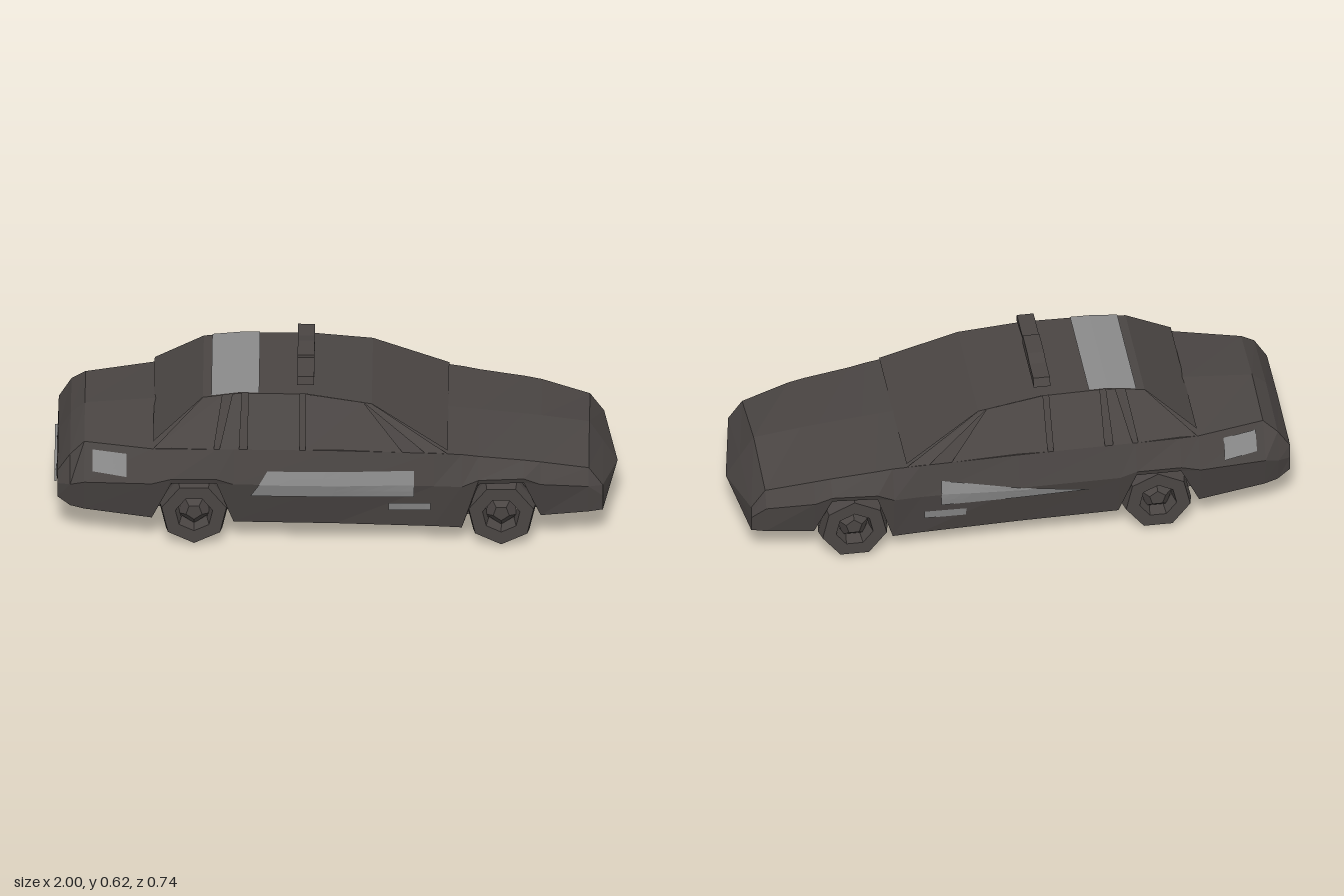
import * as THREE from 'three';

const dark = new THREE.MeshStandardMaterial({ color: 0x4a4543, flatShading: true, side: THREE.DoubleSide });
dark.name = 'dark paint';
const grey = new THREE.MeshStandardMaterial({ color: 0x8a8a8a, flatShading: true, side: THREE.DoubleSide });
grey.name = 'grey marking';

// Body stations: x, floor, arch height, sill width, mid y, mid width, shoulder y, shoulder width, deck y
const STATIONS = [
  [-0.985, 0.15, 0.15, 0.26, 0.21, 0.27, 0.26, 0.265, 0.27],
  [-0.94, 0.12, 0.12, 0.27, 0.22, 0.295, 0.33, 0.27, 0.345],
  [-0.89, 0.115, 0.115, 0.285, 0.24, 0.315, 0.37, 0.25, 0.387],
  [-0.65, 0.10, 0.10, 0.32, 0.26, 0.36, 0.375, 0.31, 0.405],
  [-0.58, 0.10, 0.26, 0.355, 0.28, 0.362, 0.38, 0.32, 0.405],
  [-0.42, 0.095, 0.26, 0.355, 0.28, 0.362, 0.385, 0.33, 0.395],
  [-0.36, 0.085, 0.085, 0.32, 0.26, 0.362, 0.385, 0.33, 0.39],
  [0, 0.08, 0.08, 0.32, 0.26, 0.365, 0.385, 0.335, 0.39],
  [0.35, 0.07, 0.07, 0.32, 0.25, 0.35, 0.37, 0.325, 0.382],
  [0.45, 0.065, 0.065, 0.32, 0.25, 0.355, 0.36, 0.315, 0.372],
  [0.51, 0.09, 0.26, 0.352, 0.28, 0.36, 0.35, 0.31, 0.366],
  [0.67, 0.10, 0.26, 0.34, 0.28, 0.348, 0.33, 0.30, 0.349],
  [0.73, 0.105, 0.105, 0.30, 0.25, 0.335, 0.32, 0.295, 0.342],
  [0.90, 0.11, 0.11, 0.28, 0.22, 0.295, 0.28, 0.265, 0.318],
  [0.95, 0.11, 0.11, 0.265, 0.17, 0.272, 0.21, 0.265, 0.24],
];

// Roof stations: x, y, half width
const ROOF = [
  [-0.645, 0.40, 0.30], [-0.47, 0.535, 0.22], [-0.34, 0.55, 0.215],
  [-0.1, 0.55, 0.22], [0.13, 0.52, 0.235], [0.40, 0.376, 0.315],
];

// Interpolated row of a table at a given x
function rowAt(table, x) {
  let i = 0;
  while (i < table.length - 2 && table[i + 1][0] < x) i++;
  const t = THREE.MathUtils.clamp((x - table[i][0]) / (table[i + 1][0] - table[i][0]), 0, 1);
  return table[i].map((v, k) => THREE.MathUtils.lerp(v, table[i + 1][k], t));
}

// Geometry from a list of quads or triangles
function facesGeometry(faces) {
  const out = [];
  for (const f of faces) {
    for (let i = 1; i < f.length - 1; i++) out.push(...f[0], ...f[i], ...f[i + 1]);
  }
  const g = new THREE.BufferGeometry();
  g.setAttribute('position', new THREE.Float32BufferAttribute(out, 3));
  g.computeVertexNormals();
  return g;
}

function add(parent, name, geometry, material) {
  const m = new THREE.Mesh(geometry, material);
  m.name = name;
  parent.add(m);
  return m;
}

function bodyGeometry() {
  const rings = STATIONS.map(([x, floor, arch, sw, my, mw, sy, shw, deck]) => {
    const side = [[0.24, floor], [0.24, arch], [sw, arch], [mw, my], [shw, sy]];
    return [
      [x, floor, 0],
      ...side.map(([z, y]) => [x, y, z]),
      [x, deck, 0],
      ...side.slice().reverse().map(([z, y]) => [x, y, -z]),
    ];
  });
  const faces = [];
  const n = rings[0].length;
  const tail = [-0.99, 0.2, 0];
  const nose = [1.0, 0.16, 0];
  const last = rings[rings.length - 1];
  for (let j = 0; j < n; j++) {
    const k = (j + 1) % n;
    for (let i = 0; i < rings.length - 1; i++) {
      faces.push([rings[i][j], rings[i + 1][j], rings[i + 1][k], rings[i][k]]);
    }
    faces.push([tail, rings[0][j], rings[0][k]], [nose, last[k], last[j]]);
  }
  return facesGeometry(faces);
}

// Half width of the body side at x, y
function sideZ(x, y) {
  const [, , arch, sw, my, mw, sy, shw] = rowAt(STATIONS, x);
  return y < my
    ? THREE.MathUtils.mapLinear(y, arch, my, sw, mw)
    : THREE.MathUtils.mapLinear(y, my, sy, mw, shw);
}

// Four-cornered marking laid over the body side
function sideMarking(parent, name, corners, s) {
  const [a, b, c, d] = corners.map(([x, y]) => new THREE.Vector2(x, y));
  const nu = 10, nv = 4;
  const at = (i, j) => {
    const p = a.clone().lerp(b, i / nu).lerp(d.clone().lerp(c, i / nu), j / nv);
    return [p.x, p.y, s * (sideZ(p.x, p.y) + 0.005)];
  };
  const faces = [];
  for (let i = 0; i < nu; i++) {
    for (let j = 0; j < nv; j++) {
      const q = [at(i, j), at(i + 1, j), at(i + 1, j + 1), at(i, j + 1)];
      faces.push(s > 0 ? q : q.reverse());
    }
  }
  add(parent, name, facesGeometry(faces), grey);
}

// Strip across the car following roof stations
function roofStrip(rows, lift) {
  return facesGeometry(rows.slice(1).map(([x, y, w], i) => {
    const [px, py, pw] = rows[i];
    return [[px, py + lift, pw], [x, y + lift, w], [x, y + lift, -w], [px, py + lift, -pw]];
  }));
}

function wheel(x, s) {
  const g = new THREE.Group();
  g.name = 'wheel';
  const ring = [[0.068, -0.045], [0.12, -0.045], [0.128, 0], [0.118, 0.045], [0.068, 0.045], [0.058, 0], [0.068, -0.045]];
  add(g, 'tyre', new THREE.LatheGeometry(ring.map(([r, y]) => new THREE.Vector2(r, y)), 7), dark);
  const disc = add(g, 'hub', new THREE.CylinderGeometry(0.03, 0.062, 0.03, 5), dark);
  disc.position.y = 0.015;
  g.position.set(x, 0.126, s * 0.295);
  g.rotation.x = s * Math.PI / 2;
  return g;
}

// Flat outline in z and y, given thickness along x
function lightPiece(outline) {
  const shape = new THREE.Shape(outline.map(([z, y]) => new THREE.Vector2(-z, y)));
  const g = new THREE.ExtrudeGeometry(shape, { depth: 0.06, bevelEnabled: false });
  g.rotateY(Math.PI / 2);
  g.translate(-0.135, 0, 0);
  return g;
}

export function createModel() {
  const car = new THREE.Group();
  car.name = 'saloonCar';
  add(car, 'body', bodyGeometry(), dark);

  // Cabin: rear window, roof and windscreen
  add(car, 'roofAndScreens', roofStrip(ROOF, 0), dark);

  // Side panes and pillars: belt start, belt end, roof end, roof start
  const panes = [
    ['rearPillar', -0.645, -0.43, -0.40, -0.47],
    ['quarterWindow', -0.41, -0.34, -0.33, -0.365],
    ['rearDoorWindow', -0.31, -0.125, -0.125, -0.31],
    ['frontDoorWindow', -0.105, 0.24, 0.10, -0.105],
    ['frontPillar', 0.32, 0.40, 0.13, 0.10],
  ];
  for (const s of [1, -1]) {
    const belt = (x) => {
      const r = rowAt(STATIONS, x);
      return [x, r[6], s * r[7]];
    };
    const top = (x) => {
      const r = rowAt(ROOF, x);
      return [x, r[1], s * r[2]];
    };
    for (const [name, a, b, c, d] of panes) {
      const q = [belt(a), belt(b), top(c), top(d)];
      add(car, name, facesGeometry([s > 0 ? q : q.reverse()]), dark);
    }

    // Markings on the flanks
    const door = s > 0
      ? [[-0.30, 0.21], [0.28, 0.205], [0.28, 0.31], [-0.24, 0.31]]
      : [[-0.25, 0.22], [0.28, 0.205], [0.28, 0.31], [0.1, 0.28]];
    sideMarking(car, 'doorMarking', door, s);
    sideMarking(car, 'sillMarking', [[0.19, 0.145], [0.34, 0.145], [0.34, 0.178], [0.19, 0.178]], s);
    sideMarking(car, 'rearWingMarking', [[-0.86, 0.28], [-0.74, 0.275], [-0.74, 0.35], [-0.86, 0.35]], s);

    car.add(wheel(-0.5, s), wheel(0.59, s));
  }

  // Roof and tail markings
  add(car, 'roofMarking', roofStrip([-0.44, -0.34, -0.27].map((x) => rowAt(ROOF, x)), 0.004), grey);
  add(car, 'tailMarking', new THREE.BoxGeometry(0.008, 0.05, 0.32), grey).position.set(-0.993, 0.18, 0);

  // Roof light bar
  add(car, 'lightBar', lightPiece([[-0.2, 0.575], [0.055, 0.575], [0.055, 0.615], [-0.05, 0.615], [-0.1, 0.605], [-0.185, 0.605]]), dark);
  add(car, 'lightBarEnd', lightPiece([[0.2, 0.575], [0.19, 0.605], [0.055, 0.605], [0.055, 0.598]]), dark);
  return car;
}
